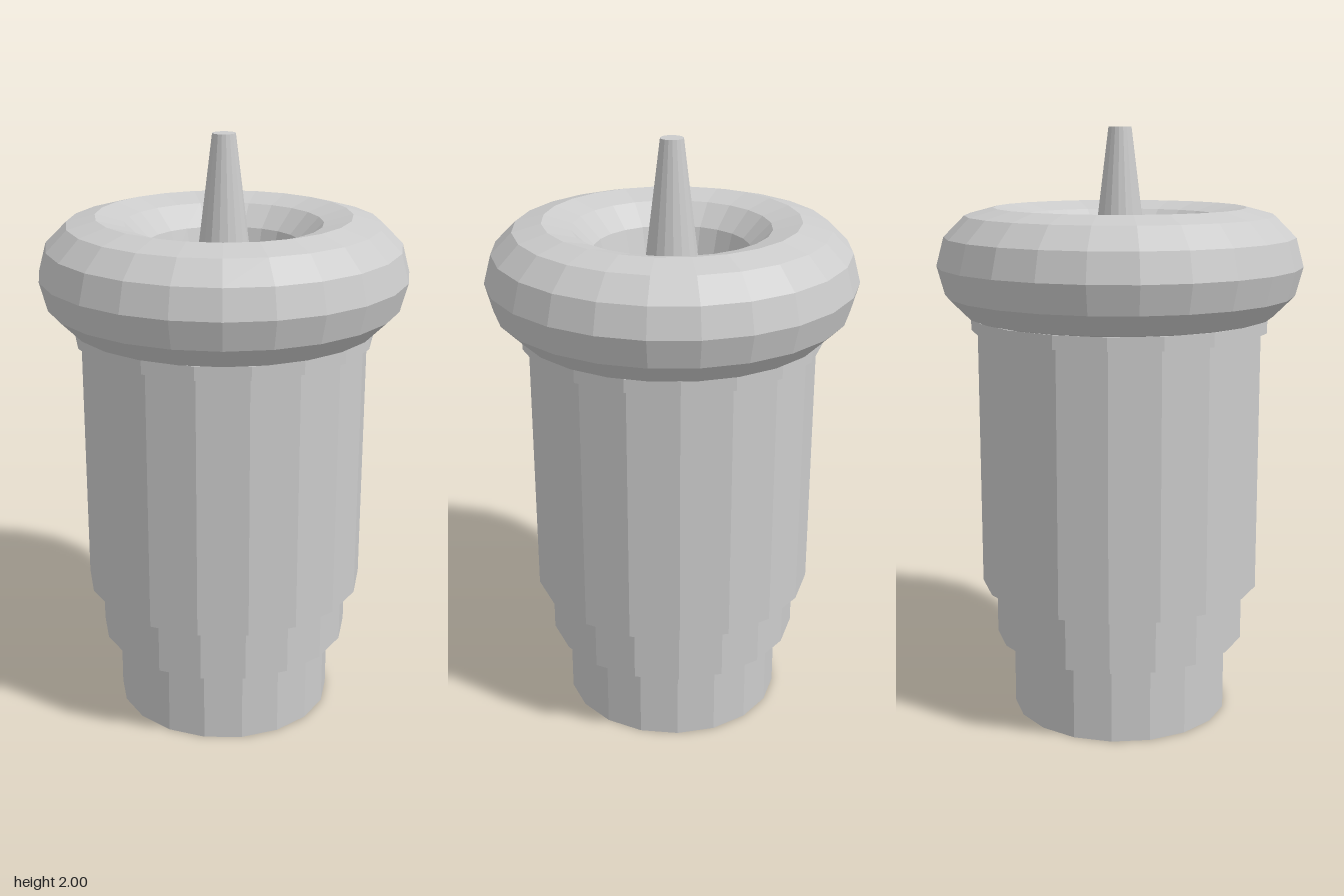
import * as THREE from 'three';

const SIDES = 18;

export function createModel() {
  const group = new THREE.Group();
  const material = new THREE.MeshStandardMaterial({
    color: 0xcccccc, flatShading: true, side: THREE.DoubleSide,
  });

  const add = (name, geometry) => {
    const mesh = new THREE.Mesh(geometry, material);
    mesh.name = name;
    group.add(mesh);
    return mesh;
  };

  // Faceted cylinder between two heights, with a corner on the +x axis
  const drum = (name, y0, y1, rBottom, rTop = rBottom, open = false) => {
    const g = new THREE.CylinderGeometry(rTop, rBottom, y1 - y0, SIDES, 1, open, Math.PI / 2);
    g.translate(0, (y0 + y1) / 2, 0);
    return add(name, g);
  };

  // Stepped barrel; the foot is an open sleeve below the middle step
  drum('footSleeve', 0, 0.265, 0.373, 0.373, true);
  drum('middleStep', 0.265, 0.455, 0.431);
  drum('barrel', 0.455, 1.335, 0.479);
  drum('collar', 1.335, 1.38, 0.5);

  // Fat ring resting on the collar
  const ring = new THREE.TorusGeometry(0.42, 0.19, 12, 24);
  ring.rotateX(-Math.PI / 2);
  ring.translate(0, 1.55, 0);
  add('ring', ring);

  // Tapered spike standing on the collar inside the ring
  drum('spike', 1.38, 2, 0.115, 0.038);

  return group;
}
